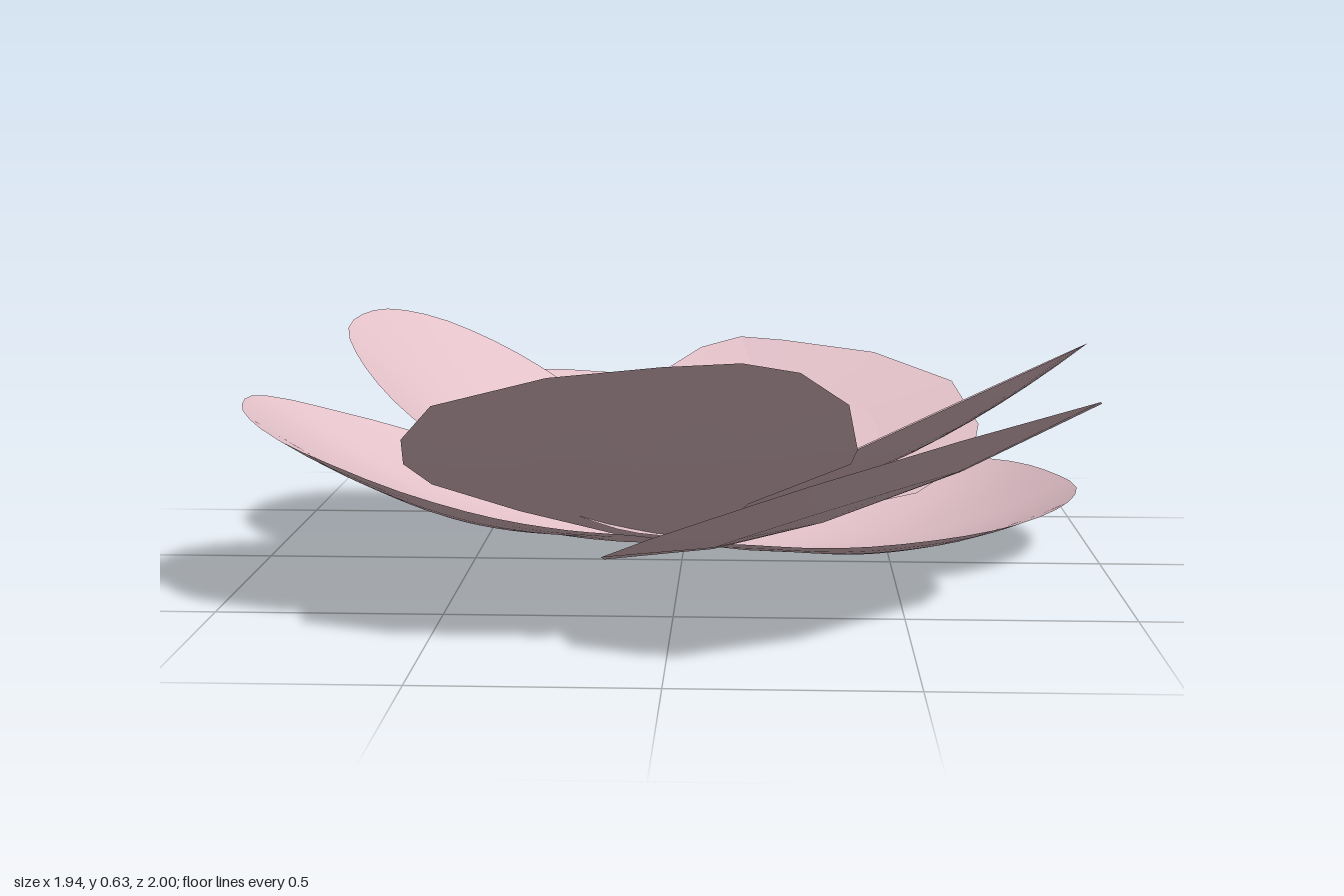
import * as THREE from 'three';

const pink = new THREE.MeshStandardMaterial({ color: 0xe2c0c8, side: THREE.DoubleSide });
pink.name = 'petal pink';

// A cupped petal: outline is [x, z] seen from above; the rim lies in the plane
// y = h + gx*x + gz*z and the middle sinks below it by cup.
function petal(name, outline, [h, gx, gz], cup, smooth) {
  let rim = outline.map(([x, z]) => new THREE.Vector3(x, 0, z));
  if (smooth) rim = new THREE.CatmullRomCurve3(rim, true).getSpacedPoints(40).slice(0, 40);
  // counter-clockwise from above, so the top faces up
  if (THREE.ShapeUtils.area(rim.map((p) => new THREE.Vector2(p.x, -p.z))) < 0) rim.reverse();

  const n = rim.length;
  const rings = smooth ? 7 : 2;
  const mid = rim.reduce((sum, p) => sum.add(p), new THREE.Vector3()).divideScalar(n);
  const positions = [];
  const indices = [];
  const addPoint = (p, r) =>
    positions.push(p.x, h + gx * p.x + gz * p.z - cup * (1 - r * r), p.z);

  addPoint(mid, 0);
  for (let k = 1; k <= rings; k++) {
    for (const p of rim) addPoint(mid.clone().lerp(p, k / rings), k / rings);
  }
  for (let i = 0; i < n; i++) {
    const j = (i + 1) % n;
    indices.push(0, 1 + i, 1 + j);
    for (let k = 1; k < rings; k++) {
      const a = 1 + (k - 1) * n;
      const b = a + n;
      indices.push(a + i, b + i, b + j, a + i, b + j, a + j);
    }
  }
  let geometry = new THREE.BufferGeometry();
  geometry.setAttribute('position', new THREE.Float32BufferAttribute(positions, 3));
  geometry.setIndex(indices);
  if (!smooth) geometry = geometry.toNonIndexed();
  geometry.computeVertexNormals();
  const mesh = new THREE.Mesh(geometry, pink);
  mesh.name = name;
  return mesh;
}

export function createModel() {
  const flower = new THREE.Group();
  flower.name = 'flower';

  // Rounded side petals
  flower.add(
    petal('upperLeftPetal', [
      [-0.05, 0.02], [-0.02, -0.03], [0.06, -0.06], [0.2, -0.13], [0.42, -0.23], [0.57, -0.245],
      [0.72, -0.22], [0.85, -0.12], [0.92, 0], [0.925, 0.12], [0.9, 0.28], [0.82, 0.42],
      [0.7, 0.49], [0.57, 0.5], [0.42, 0.46], [0.28, 0.36], [0.16, 0.25], [0.06, 0.1], [-0.02, 0.06],
    ], [0.07, 0.48, 0.215], 0.07, true),
    petal('upperRightPetal', [
      [0, 0], [-0.04, -0.11], [-0.08, -0.24], [-0.15, -0.35], [-0.25, -0.45], [-0.36, -0.5],
      [-0.5, -0.515], [-0.65, -0.47], [-0.76, -0.36], [-0.81, -0.22], [-0.815, -0.1], [-0.76, 0.03],
      [-0.66, 0.15], [-0.54, 0.22], [-0.42, 0.25], [-0.27, 0.24], [-0.14, 0.19], [-0.02, 0.07],
    ], [0.075, -0.54, -0.195], 0.075, true),
    petal('lowerRightPetal', [
      [0.03, 0.03], [-0.12, -0.05], [-0.3, -0.1], [-0.55, -0.09], [-0.7, -0.04], [-0.82, 0.04],
      [-0.92, 0.12], [-0.97, 0.22], [-0.95, 0.4], [-0.9, 0.51], [-0.82, 0.6], [-0.7, 0.645],
      [-0.56, 0.66], [-0.4, 0.6], [-0.25, 0.45], [-0.09, 0.2],
    ], [0.055, -0.37, 0.06], 0.09, true),
    petal('lowerLeftPetal', [
      [-0.03, 0.03], [0.15, 0.13], [0.35, 0.22], [0.5, 0.23], [0.7, 0.18], [0.84, 0.08],
      [0.93, -0.05], [0.97, -0.2], [0.935, -0.36], [0.87, -0.5], [0.78, -0.59], [0.65, -0.64],
      [0.46, -0.64], [0.27, -0.56], [0.1, -0.4], [-0.03, -0.14],
    ], [0.055, 0.085, -0.02], 0.1, true),
  );

  // Faceted front and back petals
  flower.add(
    petal('frontPetal', [
      [0.05, 0], [0.16, 0.25], [0.38, 0.47], [0.39, 0.55], [0.36, 0.78], [0.26, 0.935],
      [0.15, 0.985], [0, 0.98], [-0.22, 0.95], [-0.46, 0.84], [-0.55, 0.68], [-0.57, 0.55],
      [-0.53, 0.43], [-0.36, 0.25], [-0.06, 0],
    ], [0.035, 0.04, 0.59], 0.03, false),
    petal('frontLeftPetal', [
      [0.02, -0.03], [0.25, -0.03], [0.6, 0.12], [0.86, 0.35], [0.905, 0.49], [0.88, 0.62],
      [0.57, 0.9], [0.28, 0.995], [0.19, 0.97], [-0.03, 0.86], [-0.14, 0.69], [-0.15, 0.48],
      [-0.06, 0.15],
    ], [0.04, 0.33, 0.26], 0.07, false),
    petal('backLeftPetal', [
      [0.06, 0.02], [0.3, -0.04], [0.57, -0.12], [0.72, -0.27], [0.75, -0.42], [0.7, -0.64],
      [0.5, -0.81], [0.25, -0.9], [0.13, -0.93], [0.02, -0.88], [-0.13, -0.7], [-0.2, -0.5],
      [-0.2, -0.42], [-0.05, -0.04],
    ], [0.065, 0.05, -0.365], 0.03, false),
    petal('backRightPetal', [
      [0.03, 0.02], [0.25, -0.25], [0.39, -0.55], [0.37, -0.75], [0.27, -0.9], [0.13, -0.995],
      [-0.15, -1], [-0.37, -0.94], [-0.56, -0.85], [-0.625, -0.74], [-0.635, -0.5],
      [-0.5, -0.25], [-0.2, -0.05],
    ], [0.043, -0.165, -0.222], 0.05, false),
  );
  return flower;
}
